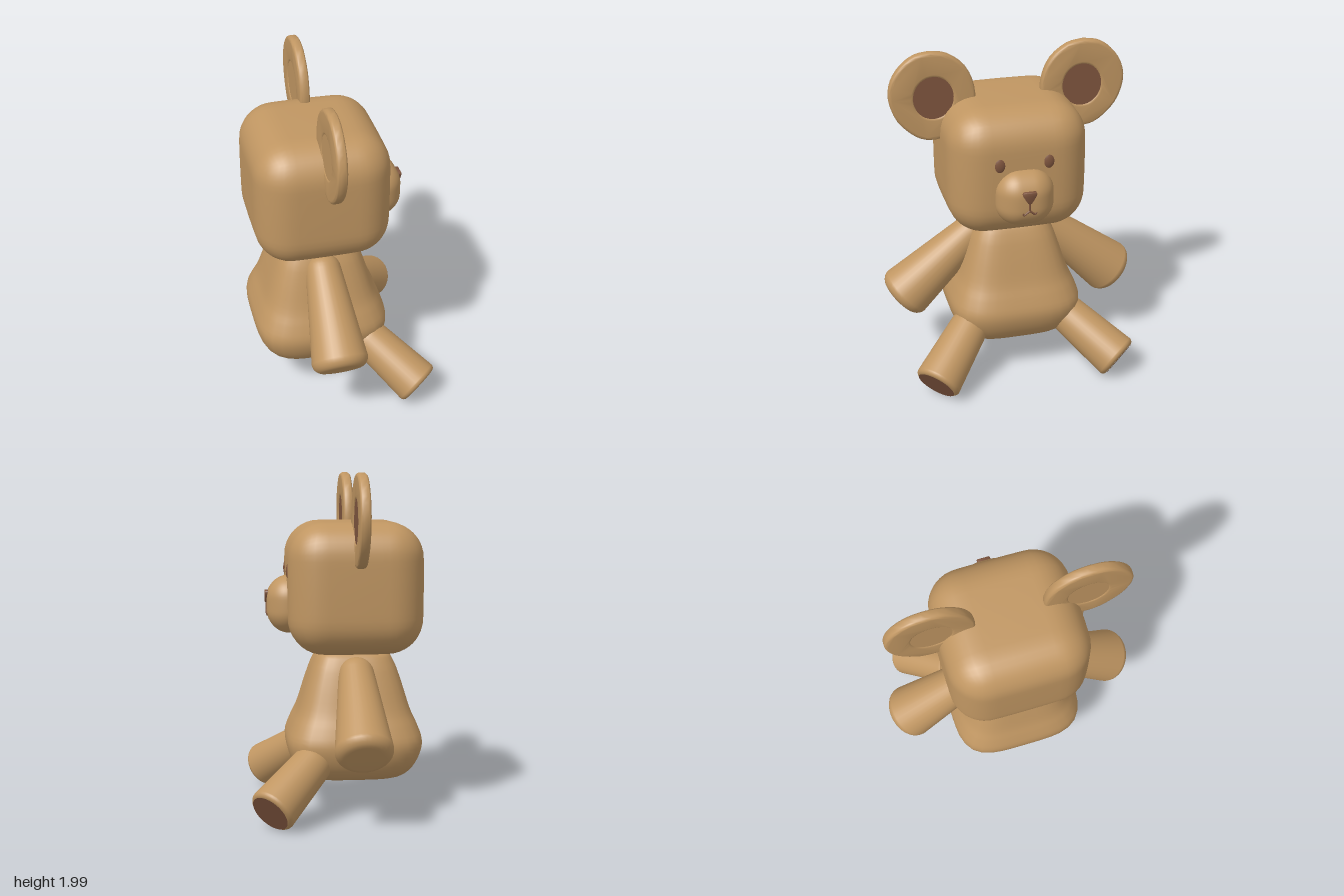
import * as THREE from 'three';
import { mergeVertices, toCreasedNormals } from 'three/addons/utils/BufferGeometryUtils.js';

const CX = -0.107; // middle of head and body; the bear looks along +x

const fur = new THREE.MeshStandardMaterial({ color: 0xc09662 });
fur.name = 'tanFur';
const brown = new THREE.MeshStandardMaterial({ color: 0x80563f });
brown.name = 'brown';

function add(parent, name, geometry, material) {
  const mesh = new THREE.Mesh(geometry, material);
  mesh.name = name;
  parent.add(mesh);
  return mesh;
}

// weld the seams and recompute smooth normals
function smooth(geometry) {
  geometry.deleteAttribute('normal');
  geometry.deleteAttribute('uv');
  const welded = mergeVertices(geometry, 1e-4);
  welded.computeVertexNormals();
  return welded;
}

// box with round edges and slightly bulging faces
function softBox(w, h, d, r, bulge) {
  const half = new THREE.Vector3(w / 2, h / 2, d / 2);
  const inner = half.clone().subScalar(r);
  const g = new THREE.BoxGeometry(w, h, d, 18, 18, 18);
  const p = g.attributes.position;
  const v = new THREE.Vector3(), core = new THREE.Vector3();
  for (let i = 0; i < p.count; i++) {
    v.fromBufferAttribute(p, i);
    core.copy(v).clamp(inner.clone().negate(), inner);
    v.sub(core).normalize().multiplyScalar(r).add(core);
    const a = (v.x / half.x) ** 2, b = (v.y / half.y) ** 2, c = (v.z / half.z) ** 2;
    v.x *= 1 - bulge * (b + c);
    v.y *= 1 - bulge * (a + c);
    v.z *= 1 - bulge * (a + b);
    p.setXYZ(i, v.x, v.y, v.z);
  }
  return smooth(g);
}

// lathe whose rings are pushed out to rounded squares
function squareLathe(profile, n) {
  const curve = new THREE.SplineCurve(profile.map(([r, y]) => new THREE.Vector2(r, y)));
  const pts = curve.getPoints(40);
  pts.forEach((q) => { q.x = Math.max(q.x, 0); });
  const g = new THREE.LatheGeometry(pts, 48);
  const p = g.attributes.position;
  for (let i = 0; i < p.count; i++) {
    const x = p.getX(i), z = p.getZ(i), r = Math.hypot(x, z);
    if (r < 1e-6) continue;
    const k = (Math.abs(x / r) ** n + Math.abs(z / r) ** n) ** (-1 / n);
    p.setX(i, x * k);
    p.setZ(i, z * k);
  }
  return smooth(g);
}

// tapered limb: round at the start, flat with a soft rim at the end
function limb(parent, name, from, to, r0, r1, rim) {
  const a = new THREE.Vector3(...from), dir = new THREE.Vector3(...to).sub(a);
  const len = dir.length();
  const pts = [];
  for (let i = 0; i <= 8; i++) {
    const t = (i / 8) * Math.PI / 2;
    pts.push(new THREE.Vector2(r0 * Math.sin(t), -r0 * Math.cos(t)));
  }
  for (let i = 0; i <= 6; i++) {
    const t = (i / 6) * Math.PI / 2;
    pts.push(new THREE.Vector2(r1 - rim + rim * Math.cos(t), len - rim + rim * Math.sin(t)));
  }
  pts.push(new THREE.Vector2(0, len));
  const group = new THREE.Group();
  group.name = name;
  group.position.copy(a);
  group.quaternion.setFromUnitVectors(new THREE.Vector3(0, 1, 0), dir.normalize());
  add(group, name + 'Fur', new THREE.LatheGeometry(pts, 32), fur);
  parent.add(group);
  return { group, len };
}

// flat round ear with a recessed brown middle
function ear(parent, name, side) {
  const outline = [[0.45, 2.0], [0.35, 1.98], [0.25, 1.9], [0.2, 1.78], [0.2, 1.65], [0.26, 1.54],
    [0.37, 1.485], [0.46, 1.47], [0.55, 1.5], [0.65, 1.6], [0.695, 1.73], [0.68, 1.84], [0.62, 1.93], [0.54, 1.985]];
  const curve = new THREE.SplineCurve([...outline, outline[0]].map(([z, y]) => new THREE.Vector2(-side * z, y)));
  const shape = new THREE.Shape(curve.getPoints(42).slice(0, -1));
  const hole = new THREE.Path();
  hole.absellipse(-side * 0.44, 1.73, 0.112, 0.122, 0, Math.PI * 2);
  shape.holes.push(hole);
  const g = new THREE.ExtrudeGeometry(shape, {
    depth: 0.024, bevelThickness: 0.018, bevelSize: 0.018, bevelOffset: -0.018, bevelSegments: 4, curveSegments: 20,
  });
  g.translate(0, 0, -0.012);
  g.rotateY(Math.PI / 2);
  const group = new THREE.Group();
  group.name = name;
  group.position.x = CX;
  add(group, name + 'Rim', toCreasedNormals(g, 0.7), fur);
  const inner = add(group, name + 'Inner',
    new THREE.CylinderGeometry(1, 1, 0.05, 40).rotateZ(-Math.PI / 2), [fur, brown, fur]);
  inner.scale.set(1, 0.132, 0.122);
  inner.position.set(0, 1.73, side * 0.44);
  parent.add(group);
}

export function createModel() {
  const bear = new THREE.Group();
  bear.name = 'teddyBear';

  // body and head
  const body = add(bear, 'body', squareLathe([[0, 0.2], [0.14, 0.205], [0.27, 0.22], [0.34, 0.27],
    [0.385, 0.35], [0.4, 0.44], [0.37, 0.53], [0.33, 0.62], [0.28, 0.78], [0.235, 0.9], [0.18, 0.96], [0, 0.98]], 4), fur);
  body.position.x = CX;
  const head = add(bear, 'head', softBox(0.79, 0.77, 0.82, 0.2, 0.018), fur);
  head.position.set(CX, 1.335, 0);

  // muzzle
  const muzzle = add(bear, 'muzzle', softBox(0.26, 0.335, 0.34, 0.125, 0.05), fur);
  muzzle.position.set(0.272, 1.231, 0);

  // nose: soft triangle pointing down
  const tri = new THREE.Shape();
  tri.moveTo(-0.034, 1.312);
  tri.lineTo(0.034, 1.312);
  tri.quadraticCurveTo(0.046, 1.305, 0.036, 1.285);
  tri.lineTo(0.012, 1.245);
  tri.quadraticCurveTo(0, 1.235, -0.012, 1.245);
  tri.lineTo(-0.036, 1.285);
  tri.quadraticCurveTo(-0.046, 1.305, -0.034, 1.312);
  const noseGeo = new THREE.ExtrudeGeometry(tri, {
    depth: 0.04, bevelThickness: 0.006, bevelSize: 0.005, bevelOffset: -0.005, bevelSegments: 2,
  }).rotateY(Math.PI / 2);
  add(bear, 'nose', toCreasedNormals(noseGeo, 0.8), brown).position.x = 0.367;

  // mouth: a stem and two curling strokes
  const stroke = (name, pts) => add(bear, name, new THREE.TubeGeometry(
    new THREE.CatmullRomCurve3(pts.map((q) => new THREE.Vector3(...q))), 12, 0.006, 8), brown);
  stroke('mouthStem', [[0.402, 1.25, 0], [0.402, 1.22, 0], [0.402, 1.192, 0]]);

  for (const side of [1, -1]) {
    const s = side > 0 ? 'Left' : 'Right';
    stroke('mouthStroke' + s, [[0.402, 1.195, 0], [0.401, 1.182, side * 0.016],
      [0.399, 1.17, side * 0.032], [0.398, 1.182, side * 0.04]]);

    const eye = add(bear, 'eye' + s, new THREE.SphereGeometry(1, 24, 16), brown);
    eye.scale.set(0.025, 0.054, 0.04);
    eye.position.set(0.27, 1.434, side * 0.142);

    ear(bear, 'ear' + s, side);

    limb(bear, 'arm' + s, [CX, 0.835, side * 0.235], [CX, 0.44, side * 0.685], 0.105, 0.165, 0.06);

    // leg with a brown sole
    const leg = limb(bear, 'leg' + s, [0.165, 0.322, side * 0.315], [0.41, 0.117, side * 0.565], 0.117, 0.139, 0.028);
    const sole = add(leg.group, 'sole' + s, new THREE.CircleGeometry(0.118, 32).rotateX(-Math.PI / 2), brown);
    sole.position.y = leg.len + 0.003;
  }
  return bear;
}
